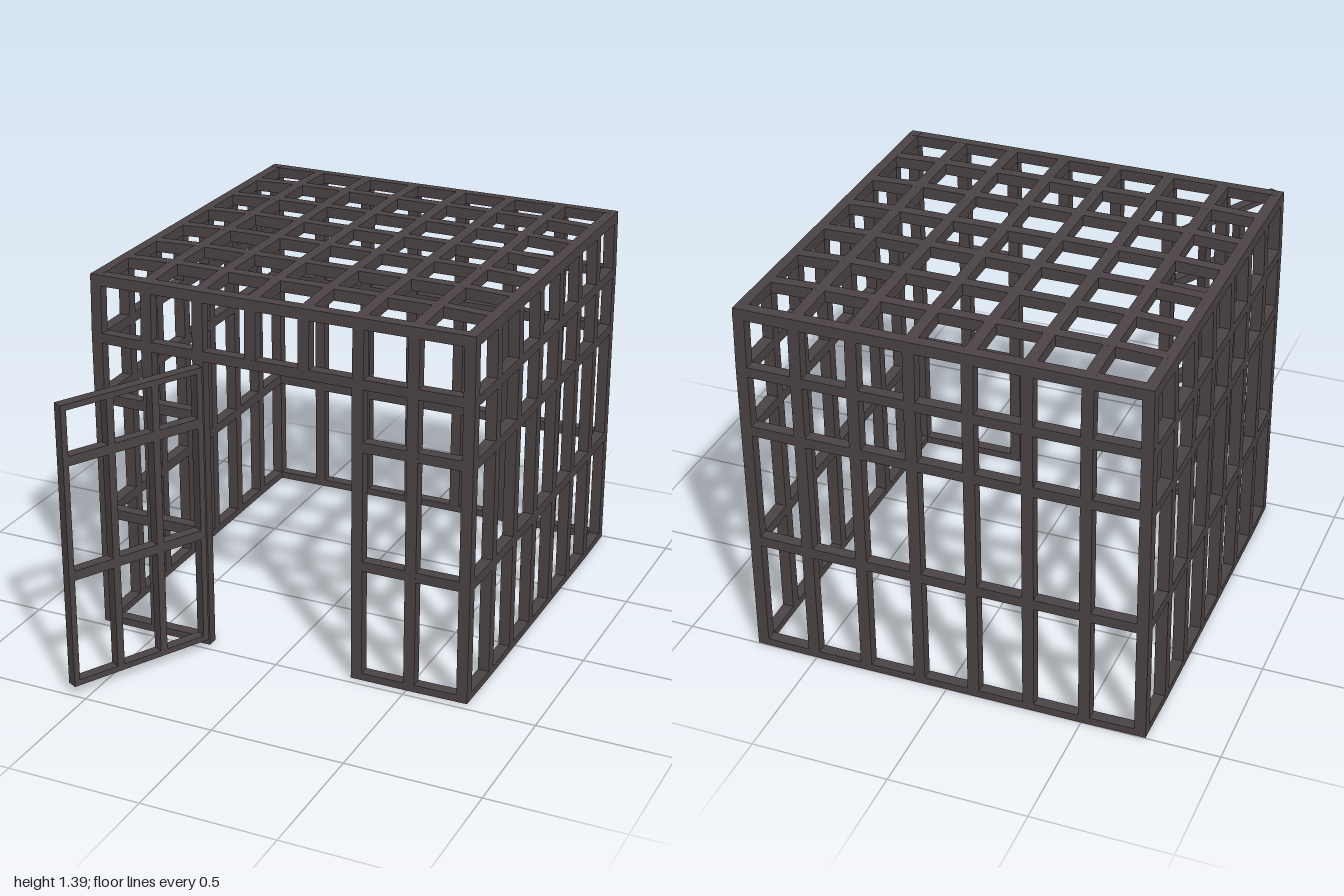
import * as THREE from 'three';

const HALF = 0.735, T = 0.042, H = 1.387, ZC = -0.265;
const PITCH = (2 * HALF - T) / 7;
const node = i => -HALF + T / 2 + i * PITCH; // eight evenly spaced bar positions

export function createModel() {
  const model = new THREE.Group();
  const iron = new THREE.MeshStandardMaterial({ color: 0x4b4345 });
  iron.name = 'darkIron';

  // Cage edges ease inward slightly towards the corners
  function ease(geo) {
    const p = geo.attributes.position;
    for (let i = 0; i < p.count; i++) {
      const x = p.getX(i), y = p.getY(i), z = p.getZ(i);
      const u = Math.max(0, (Math.abs(x) - 0.525) / 0.21);
      const v = Math.max(0, (Math.abs(z) - 0.525) / 0.21);
      const w = Math.max(0, (y - 1.15) / 0.237);
      p.setXYZ(i,
        x - Math.sign(x) * 0.006 * u * Math.max(v * 0.5, w),
        y - 0.008 * w * Math.max(u, v),
        z - Math.sign(z) * 0.006 * v * Math.max(u * 0.5, w));
    }
    geo.computeVertexNormals();
    return geo;
  }

  function bar(parent, name, size, pos, segs = [1, 1, 1], eased = true) {
    const geo = new THREE.BoxGeometry(...size, ...segs).translate(...pos);
    const mesh = new THREE.Mesh(eased ? ease(geo) : geo, iron);
    mesh.name = name;
    parent.add(mesh);
  }

  const cage = new THREE.Group();
  cage.name = 'cage';
  cage.position.z = ZC;
  model.add(cage);

  const edge = HALF - T / 2;
  const rails = [[0.014, 0.028], [0.455, 0.038], [0.91, 0.038], [1.142, 0.038]];

  // Roof lattice
  for (let i = 0; i < 8; i++) {
    bar(cage, 'roofCrossBar', [2 * HALF, T, T], [0, H - T / 2, node(i)], [7, 1, 1]);
    bar(cage, 'roofLongBar', [T, T, 2 * HALF], [node(i), H - T / 2, 0], [1, 1, 7]);
  }

  // Side and back walls
  for (let i = 0; i < 8; i++) {
    for (const s of [-1, 1])
      bar(cage, 'sidePost', [T, H, T], [s * edge, H / 2, node(i)], [1, 6, 1]);
    if (i > 0 && i < 7) bar(cage, 'backPost', [T, H, T], [node(i), H / 2, -edge], [1, 6, 1]);
  }
  for (const [y, h] of rails) {
    for (const s of [-1, 1])
      bar(cage, 'sideRail', [T, h, 2 * HALF], [s * edge, y, 0], [1, 1, 7]);
    bar(cage, 'backRail', [2 * HALF, h, T], [0, y, -edge], [7, 1, 1]);
  }

  // Front wall with a doorway three bays wide
  for (let i = 1; i < 7; i++) {
    const y0 = i === 3 || i === 4 ? 1.142 : 0;
    bar(cage, 'frontPost', [T, H - y0, T], [node(i), (H + y0) / 2, edge], [1, 6, 1]);
  }
  for (const [y, h] of rails) {
    if (y > 1) bar(cage, 'doorLintel', [2 * HALF, h, T], [0, y, edge], [7, 1, 1]);
    else for (const s of [-1, 1])
      bar(cage, 'frontRail', [2 * PITCH + T, h, T], [s * (edge - PITCH), y, edge], [2, 1, 1]);
  }

  // Open door, built along local +x from the hinge
  const door = new THREE.Group();
  door.name = 'door';
  const L = 0.57, D = 0.04, Y0 = 0.035, Y1 = 1.112;
  door.position.set(-0.295, 0, 0.483);
  door.rotation.y = -Math.atan2(0.502, -0.265);
  for (let i = 0; i < 4; i++) {
    const w = i % 3 ? 0.028 : 0.022;
    bar(door, 'doorStile', [w, Y1 - Y0, D],
      [0.011 + i * (L - 0.022) / 3, (Y0 + Y1) / 2, 0], [1, 1, 1], false);
  }
  for (const [y, h] of [[0.046, 0.022], [0.468, 0.036], [0.903, 0.036], [1.101, 0.022]])
    bar(door, 'doorRail', [L, h, D], [L / 2, y, 0], [1, 1, 1], false);
  model.add(door);

  return model;
}
